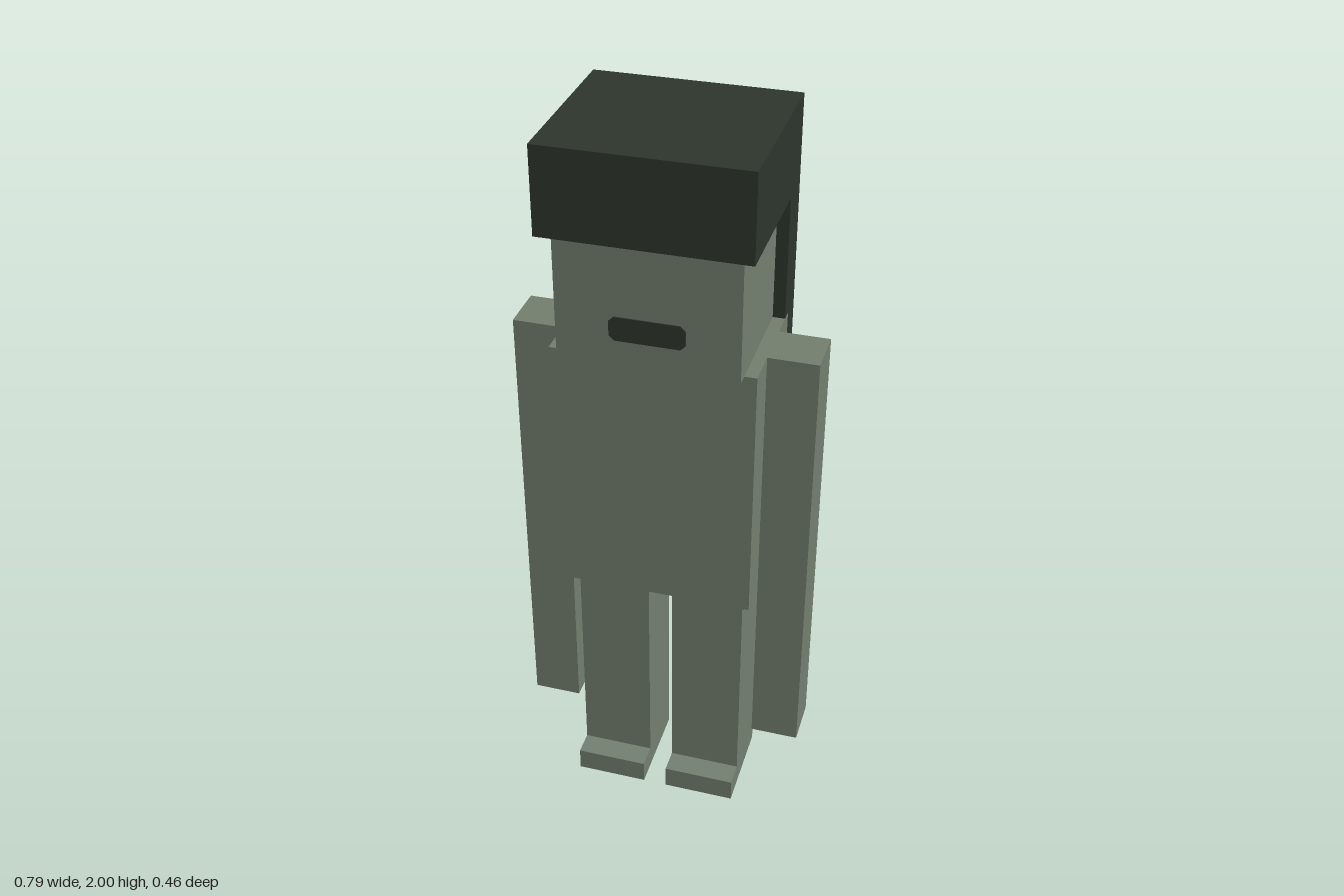
import * as THREE from 'three';

export function createModel() {
  const model = new THREE.Group();
  const skin = new THREE.MeshStandardMaterial({ color: 0x727e6e });
  skin.name = 'greyGreen';
  const dark = new THREE.MeshStandardMaterial({ color: 0x2d352d });
  dark.name = 'darkGreen';

  function add(name, geometry, material, parent = model) {
    const mesh = new THREE.Mesh(geometry, material);
    mesh.name = name;
    parent.add(mesh);
    return mesh;
  }

  // Box given by its lower and upper corners
  function box(name, min, max, material, parent) {
    const size = max.map((v, i) => v - min[i]);
    const mesh = add(name, new THREE.BoxGeometry(...size), material, parent);
    mesh.position.set(...max.map((v, i) => (v + min[i]) / 2));
    return mesh;
  }

  box('torso', [-0.262, 0.725, -0.164], [0.262, 1.443, 0.164], skin);
  box('head', [-0.23, 1.443, -0.14], [0.23, 1.85, 0.197], skin);

  // Hair: side outline (z, y) extruded across the width, stepping behind the torso
  const outline = [
    [0.23, 2], [-0.23, 2], [-0.23, 1.315], [-0.164, 1.315],
    [-0.164, 1.443], [-0.131, 1.443], [-0.131, 1.774], [0.23, 1.774],
  ].map(([z, y]) => new THREE.Vector2(z, y));
  const hair = new THREE.ExtrudeGeometry(new THREE.Shape(outline), { depth: 0.524, bevelEnabled: false });
  hair.translate(0, 0, -0.262).rotateY(-Math.PI / 2);
  add('hair', hair, dark);

  // Mouth: thin plate with clipped corners
  const w = 0.095, h = 0.032, c = 0.013;
  const mouthShape = new THREE.Shape([
    [-w + c, -h], [w - c, -h], [w, -h + c], [w, h - c],
    [w - c, h], [-w + c, h], [-w, h - c], [-w, -h + c],
  ].map(([x, y]) => new THREE.Vector2(x, y)));
  const mouth = add('mouth', new THREE.ExtrudeGeometry(mouthShape, { depth: 0.004, bevelEnabled: false }), dark);
  mouth.position.set(0, 1.543, 0.196);

  // Arms, legs and feet on both sides
  for (const [side, s] of [['left', 1], ['right', -1]]) {
    const limb = (name, x0, x1, y0, y1, z0, z1, material) => box(
      side + name,
      [Math.min(s * x0, s * x1), y0, z0], [Math.max(s * x0, s * x1), y1, z1], material);
    limb('Arm', 0.262, 0.393, 0.197, 1.443, -0.065, 0.065, skin);
    limb('Leg', 0.033, 0.23, 0.066, 0.725, -0.098, 0.098, skin);
    // The bottom face of each foot is a dark sole
    limb('Foot', 0.033, 0.23, 0, 0.066, -0.098, 0.164, [skin, skin, skin, dark, skin, skin]);
  }

  return model;
}
